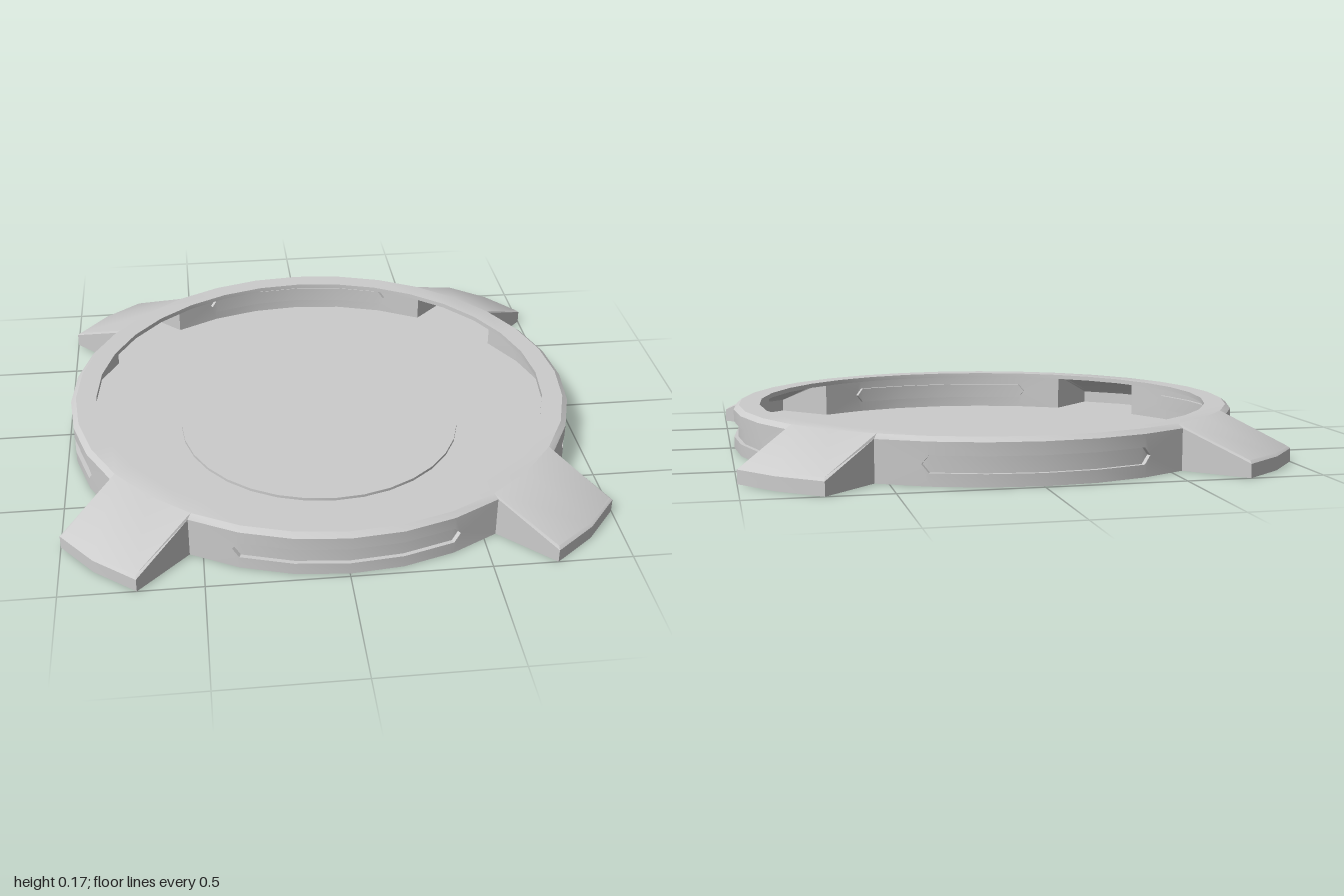
import * as THREE from 'three';
import { toCreasedNormals } from 'three/addons/utils/BufferGeometryUtils.js';

const STEP = Math.PI / 16;      // 32-sided dish
const R = 0.985, RIM = 0.965, INNER = 0.885;
const TOP = 0.168, WALL_TOP = 0.152;
const ARM_HALF = 0.19, ARM_END = 1.224, ARM_MID = 1.245;

const polar = (r, a, y) => new THREE.Vector3(r * Math.cos(a), y, r * Math.sin(a));

// Point in an arm's own frame: distance along it and offset across it
function armPoint(quadrant, along, across, y) {
  const a = Math.PI / 4 + quadrant * Math.PI / 2;
  return new THREE.Vector3(
    along * Math.cos(a) - across * Math.sin(a), y,
    along * Math.sin(a) + across * Math.cos(a));
}

// Loop of 40 points: per quadrant seven on the dish, then three at the arm's end
function outline(r, yWall, yArm, inset = 0) {
  const points = [];
  for (let q = 0; q < 4; q++) {
    for (let i = -3; i <= 3; i++) points.push(polar(r, i * STEP + q * Math.PI / 2, yWall));
    for (const s of [-1, 0, 1]) {
      points.push(armPoint(q, (s ? ARM_END : ARM_MID) - inset, s * (ARM_HALF - inset), yArm));
    }
  }
  return points;
}

// Plain circle whose points match the outline one by one
function circle(r, y) {
  const points = [];
  for (let q = 0; q < 4; q++) {
    for (const i of [-3, -2, -1, 0, 1, 2, 3, 3, 4, 5]) {
      points.push(polar(r, i * STEP + q * Math.PI / 2, y));
    }
  }
  return points;
}

// Adds a convex (or fan-shaped) polygon, leaving out empty triangles
function addPolygon(out, ...p) {
  for (let i = 1; i < p.length - 1; i++) {
    const tri = new THREE.Triangle(p[0], p[i], p[i + 1]);
    if (tri.getArea() > 1e-7) out.push(p[0], p[i], p[i + 1]);
  }
}

function loft(out, a, b, keep = () => true) {
  for (let i = 0; i < a.length; i++) {
    const j = (i + 1) % a.length;
    if (keep(i)) addPolygon(out, a[i], b[i], b[j], a[j]);
  }
}

export function createModel() {
  const group = new THREE.Group();
  const material = new THREE.MeshStandardMaterial({ color: 0xcccccc, side: THREE.DoubleSide });
  const addMesh = (name, triangles) => {
    const geometry = new THREE.BufferGeometry().setFromPoints(triangles);
    const mesh = new THREE.Mesh(toCreasedNormals(geometry, 0.5), material);
    mesh.name = name;
    group.add(mesh);
  };

  const base = outline(R, 0, 0);
  const wallTop = outline(R, WALL_TOP, 0.05);
  const bevel = outline(RIM, TOP, 0.06, 0.01);

  // Floor with a slightly raised central disc
  const floor = [];
  loft(floor, circle(0, 0.011), circle(0.557, 0.011));
  loft(floor, circle(0.557, 0.011), circle(0.557, 0));
  loft(floor, circle(0.557, 0), base);
  addMesh('floor', floor);

  // Upright sides of the four arms
  const armSides = [];
  loft(armSides, base, wallTop, i => i % 10 >= 6);
  addMesh('armSides', armSides);

  // Bevelled rim, sloping arm tops and the small inner lip
  const rim = [];
  loft(rim, wallTop, bevel);
  loft(rim, bevel, circle(RIM, TOP));
  loft(rim, circle(RIM, TOP), circle(INNER, TOP));
  loft(rim, circle(INNER, TOP), circle(INNER, 0.15));
  addMesh('rim', rim);

  // Four curved walls, each with a long recessed slot with pointed ends
  const low = 0.045, middle = 0.075, high = 0.105, depth = 0.016;
  for (let q = 0; q < 4; q++) {
    const at = (i, y, r = R) => polar(r, i * STEP + q * Math.PI / 2, y);
    const tip = (s, r = R) => at(2 * s, middle, r).lerp(at(3 * s, middle, r), 0.14);
    const wall = [], slot = [];

    for (let i = -2; i < 2; i++) {
      addPolygon(wall, at(i, 0), at(i, low), at(i + 1, low), at(i + 1, 0));
      addPolygon(wall, at(i, high), at(i, WALL_TOP), at(i + 1, WALL_TOP), at(i + 1, high));
    }
    for (const s of [-1, 1]) {
      const fan = [tip(s), at(2 * s, high), at(2 * s, WALL_TOP), at(3 * s, WALL_TOP),
        at(3 * s, 0), at(2 * s, 0), at(2 * s, low)];
      if (s < 0) fan.reverse();
      // Keep the tip as the fan's centre
      if (s < 0) fan.unshift(fan.pop());
      addPolygon(wall, ...fan);
    }
    addMesh('wall', wall);

    // Slot edge loop at a given radius
    const slotLoop = r => [
      ...[-2, -1, 0, 1, 2].map(i => at(i, low, r)), tip(1, r),
      ...[2, 1, 0, -1, -2].map(i => at(i, high, r)), tip(-1, r)];
    const inner = R - depth;
    loft(slot, slotLoop(R), slotLoop(inner));
    for (let i = -2; i < 2; i++) {
      addPolygon(slot, at(i, low, inner), at(i, high, inner), at(i + 1, high, inner), at(i + 1, low, inner));
    }
    addPolygon(slot, at(2, low, inner), at(2, high, inner), tip(1, inner));
    addPolygon(slot, at(-2, high, inner), at(-2, low, inner), tip(-1, inner));
    addMesh('sideSlot', slot);
  }
  return group;
}
